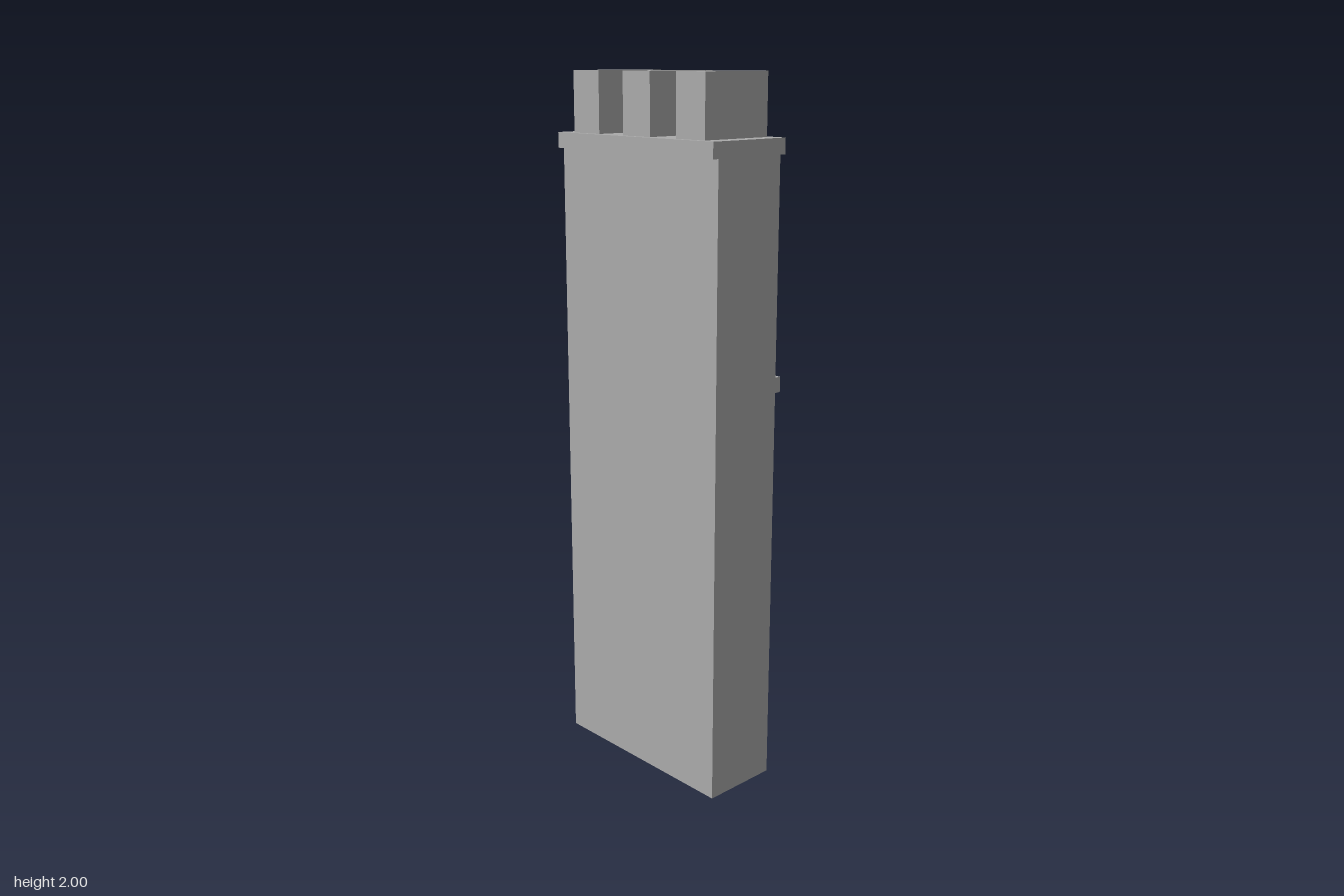
import * as THREE from 'three';

export function createModel() {
  const model = new THREE.Group();
  const grey = new THREE.MeshStandardMaterial({ color: 0xaaaaaa });
  grey.name = 'grey';

  // Box given by its width, its y range and its z range
  function addBox(name, x, width, y0, y1, z0, z1) {
    const mesh = new THREE.Mesh(new THREE.BoxGeometry(width, y1 - y0, z1 - z0), grey);
    mesh.position.set(x, (y0 + y1) / 2, (z0 + z1) / 2);
    mesh.name = name;
    model.add(mesh);
  }

  const width = 0.611;
  const depth = 0.114;

  // Tall slab and its cap, which overhangs front and back only
  addBox('stack', 0, width, 0, 1.79, -depth, depth);
  addBox('cap', 0, width, 1.79, 1.833, -0.133, 0.133);

  // Raised band across the back
  addBox('backBand', 0, width, 1.152, 1.195, -0.133, -depth);

  // Three flues on top
  for (const x of [-0.204, 0, 0.204]) {
    addBox('flue', x, 0.106, 1.833, 2, -depth, depth);
  }

  return model;
}
